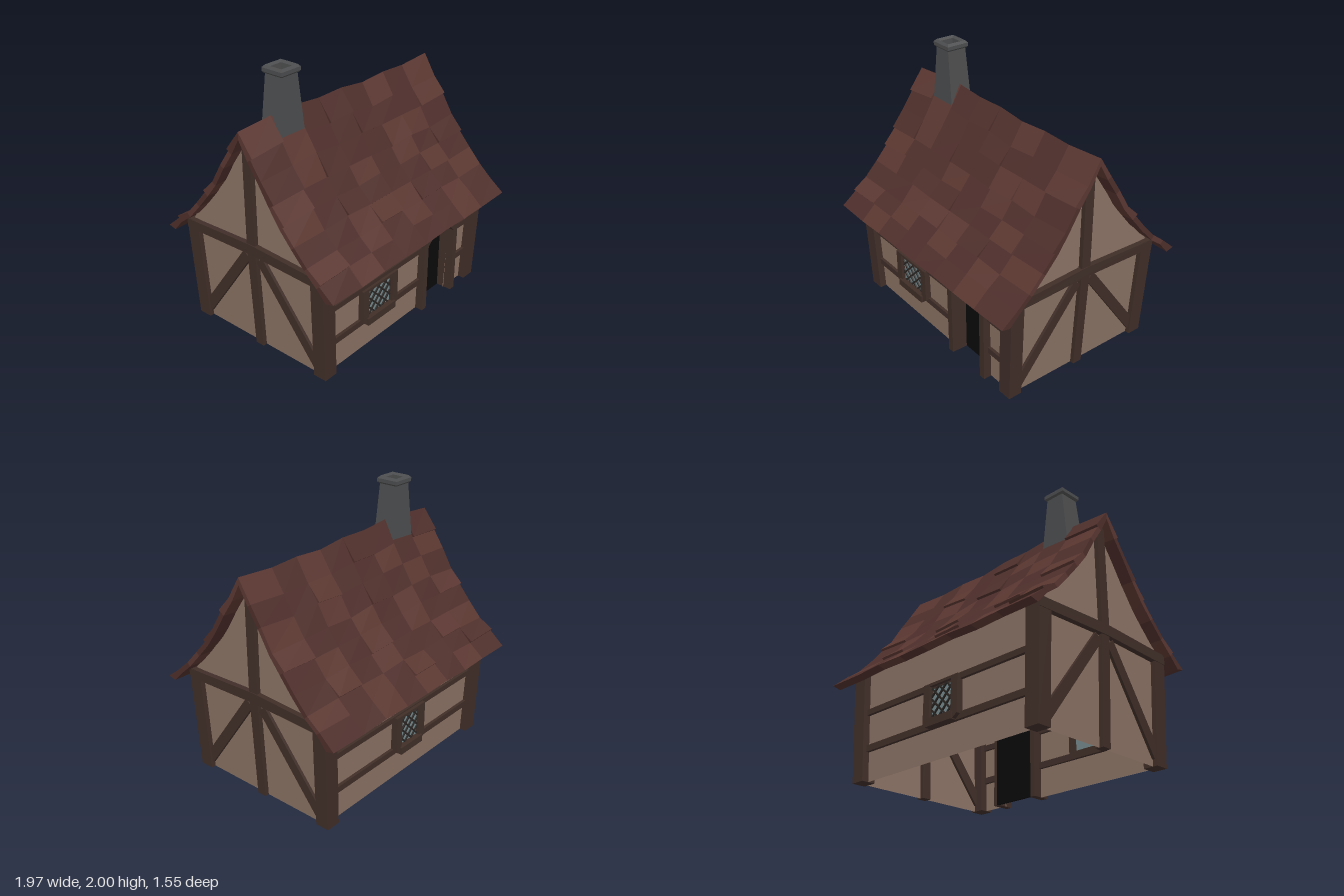
import * as THREE from 'three';
import { mergeGeometries } from 'three/addons/utils/BufferGeometryUtils.js';

const mat = (color, side = THREE.FrontSide) => {
  const m = new THREE.MeshStandardMaterial({ color, side, flatShading: true });
  return m;
};
const PLASTER = mat(0x8a7264, THREE.DoubleSide), WOOD = mat(0x402e28), BLACK = mat(0x0a0a0a);
const GLASS = mat(0x74898c), LEAD = mat(0x2a2624), STONE = mat(0x4c4d4e, THREE.DoubleSide);
const TILE_DARK = mat(0x4e2f2b), TILE_LIGHT = mat(0x5b3731);

function add(parent, name, geo, material) {
  const mesh = new THREE.Mesh(geo, material);
  mesh.name = name;
  parent.add(mesh);
  return mesh;
}

const poly = (pts) => new THREE.Shape(pts.map(([x, y]) => new THREE.Vector2(x, y)));
const box = (x0, x1, y0, y1, z0, z1, segY = 1) =>
  new THREE.BoxGeometry(x1 - x0, y1 - y0, z1 - z0, 1, segY, 1)
    .translate((x0 + x1) / 2, (y0 + y1) / 2, (z0 + z1) / 2);
const slab = (shape, z0, z1) =>
  new THREE.ExtrudeGeometry(shape, { depth: z1 - z0, bevelEnabled: false }).translate(0, 0, z0);

// move every vertex by a rule
function warp(geo, rule) {
  const p = geo.attributes.position, v = new THREE.Vector3();
  for (let i = 0; i < p.count; i++) {
    rule(v.fromBufferAttribute(p, i));
    p.setXYZ(i, v.x, v.y, v.z);
  }
  geo.computeVertexNormals();
  return geo;
}

// walls lean outward up to the eaves
const lean = (geo) => warp(geo, (v) => {
  const t = Math.min(v.y, 0.8) / 0.8;
  v.x = v.x * (1 + 0.046 * t) - 0.01;
  v.z *= 1 + 0.025 * t;
});

function buildWalls(g) {
  const front = poly([[-0.85, 0], [0.235, 0], [0.235, 0.53], [0.3, 0.59], [0.5, 0.59], [0.555, 0.53],
    [0.555, 0], [0.85, 0], [0.85, 0.83], [-0.85, 0.83]]);
  add(g, 'frontWall', lean(new THREE.ShapeGeometry(front).translate(0, 0, 0.57)), PLASTER);
  const back = poly([[-0.85, 0], [0.85, 0], [0.85, 0.83], [-0.85, 0.83]]);
  add(g, 'backWall', lean(new THREE.ShapeGeometry(back).rotateY(Math.PI).translate(0, 0, -0.57)), PLASTER);

  // corner posts
  for (const sx of [1, -1]) for (const sz of [1, -1]) {
    const post = box(-0.055, 0.055, 0, 0.81, -0.052, 0.052).translate(sx * 0.825, 0, sz * 0.57);
    add(g, 'cornerPost', lean(post), WOOD);
  }
  // horizontal rails on the long walls
  for (const [y0, y1] of [[0.215, 0.262], [0.488, 0.53]]) {
    add(g, 'frontRail', lean(box(-0.8, 0.2, y0, y1, 0.55, 0.592)), WOOD);
    add(g, 'frontRail', lean(box(0.59, 0.8, y0, y1, 0.55, 0.592)), WOOD);
    add(g, 'backRail', lean(box(-0.8, 0.8, y0, y1, -0.592, -0.55)), WOOD);
  }
}

function buildGable(g, angle) {
  const place = (geo) => lean(geo.rotateY(angle));
  const lower = poly([[-0.57, 0], [0.57, 0], [0.57, 0.8], [-0.57, 0.8]]);
  const upper = poly([[-0.59, 0.8], [0.59, 0.8], [0.56, 0.85], [0.337, 1.1], [0.176, 1.36], [0, 1.62],
    [-0.176, 1.36], [-0.337, 1.1], [-0.56, 0.85]]);
  for (const s of [lower, upper])
    add(g, 'gableWall', place(new THREE.ShapeGeometry(s).translate(0, 0, 0.845)), PLASTER);
  // timber frame: king post, tie beam and two braces
  add(g, 'gablePost', place(box(-0.036, 0.036, 0, 1.6, 0.815, 0.877, 2)), WOOD);
  const tie = poly([[-0.62, 0.735], [0, 0.755], [0.62, 0.735], [0.62, 0.805], [0, 0.832], [-0.62, 0.805]]);
  add(g, 'tieBeam', place(slab(tie, 0.825, 0.883)), WOOD);
  for (const s of [1, -1]) {
    const brace = poly([[0.03, 0.7], [0.085, 0.75], [0.53, 0.15], [0.51, 0.045]].map(([z, y]) => [s * z, y]));
    add(g, 'brace', place(slab(brace, 0.825, 0.866)), WOOD);
  }
}

function buildDoor(g) {
  const frame = poly([[0.185, 0], [0.235, 0], [0.235, 0.53], [0.3, 0.59], [0.5, 0.59], [0.555, 0.53],
    [0.555, 0], [0.605, 0], [0.605, 0.57], [0.51, 0.635], [0.28, 0.635], [0.185, 0.57]]);
  add(g, 'doorFrame', slab(frame, 0.5, 0.632), WOOD);
  const panel = poly([[0.225, 0], [0.565, 0], [0.565, 0.54], [0.5, 0.6], [0.3, 0.6], [0.225, 0.54]]);
  add(g, 'doorPanel', slab(panel, 0.49, 0.51), BLACK);
}

// lattice window, built around its own centre and facing +z
function buildWindow(w, h) {
  const g = new THREE.Group();
  g.name = 'window';
  const o = 0.06, W = w + o, b = -h - 0.055;
  const frame = poly([[-W, b + 0.035], [-W + 0.05, b], [W - 0.05, b], [W, b + 0.035], [W, h + 0.02], [-W, h + 0.02]]);
  frame.holes.push(poly([[-w, -h], [-w, h], [w, h], [w, -h]]));
  add(g, 'windowFrame', slab(frame, -0.03, 0.04), WOOD);
  add(g, 'windowSill', box(-W + 0.04, W - 0.04, b, -h, 0, 0.055), WOOD);
  add(g, 'windowPane', box(-w, w, -h, h, -0.02, 0.012), GLASS);
  const bars = [];
  for (const s of [1, -1]) for (let c = -0.225; c < 0.23; c += 0.075) {
    const x0 = Math.max(-w, -h - c), x1 = Math.min(w, h - c);
    if (x1 - x0 < 0.02) continue;
    const xm = (x0 + x1) / 2;
    bars.push(new THREE.BoxGeometry((x1 - x0) * Math.SQRT2, 0.012, 0.012)
      .rotateZ(s * Math.PI / 4).translate(s * xm, xm + c, 0.016));
  }
  add(g, 'windowLattice', mergeGeometries(bars), LEAD);
  return g;
}

// roof rows run from ridge to eaves: r = raised, l = light, R = both
const FRONT_TILES = ['Rl.r.l.l', '.l..r..R', 'rlr..Rl.', 'R..l.l.r', 'l.rr..R.', '..lRlr.l', 'R.l.l.l.', '.l..r.l.'];
const BACK_TILES = ['r..r.l.l', 'l.l..R..', '.l.r.l.l', 'R.l.l..R', '..l.R.l.', 'lR..l.R.', 'r..R.l.l', '.l.l.l..'];
const COLS = [-0.985, -0.7, -0.47, -0.24, -0.005, 0.225, 0.46, 0.69, 0.985];
const RIDGE = [-0.015, 0.005, 0.01, -0.01, -0.005, -0.03, -0.015, -0.025, -0.005];
const TOP = [[0, 1.68], [0.1, 1.52], [0.185, 1.39], [0.275, 1.245], [0.36, 1.13], [0.455, 1.015],
  [0.56, 0.905], [0.66, 0.82], [0.775, 0.722]];

// point on the roof profile, moved outward by d
function roofPoint(j, d) {
  const [z, y] = TOP[j];
  if (j === 0) return [0, y + d * 1.5];
  if (j === 8 && d < 0) return [0.712, 0.708];
  const a = TOP[j - 1], b = TOP[Math.min(j + 1, 8)];
  const dz = b[0] - a[0], dy = b[1] - a[1], len = Math.hypot(dz, dy);
  return [z - dy / len * d, y + dz / len * d];
}

function buildRoof(g) {
  const dark = [], light = [];
  for (const [s, rows] of [[1, FRONT_TILES], [-1, BACK_TILES]])
    rows.forEach((row, j) => [...row].forEach((kind, i) => {
      const raised = kind.toLowerCase() === 'r';
      const tile = warp(new THREE.BoxGeometry(1, 1, 1), (v) => {
        const c = i + ((v.x * s > 0) ? 1 : 0);
        const low = v.z > 0, k = low ? j + 1 : j;
        const lift = raised && low && j < 7 ? 0.018 : 0;
        const [z, y] = roofPoint(k, v.y > 0 ? lift : -0.035);
        const wobble = RIDGE[c] * (1 - k / 8) + (k > 0 ? 0.005 * Math.sin(c * 2.3 + k * 4.1 + s) : 0);
        v.set(COLS[c], y + wobble, s * z);
      });
      (kind === 'l' || kind === 'R' ? light : dark).push(tile);
    }));
  add(g, 'roofTilesDark', mergeGeometries(dark), TILE_DARK);
  add(g, 'roofTilesLight', mergeGeometries(light), TILE_LIGHT);
}

function buildChimney(g) {
  // tapered shaft, open at the top
  const ring = (pts) => new THREE.LatheGeometry(
    pts.map(([r, y]) => new THREE.Vector2(r * Math.SQRT2, y)), 4).rotateY(Math.PI / 4);
  const shaft = warp(ring([[1, 1.35], [1, 1.95]]), (v) => {
    const t = (v.y - 1.52) / 0.43;
    v.x *= 0.116 - 0.046 * t;
    v.z *= 0.088 - 0.013 * t;
  });
  add(g, 'chimneyShaft', shaft, STONE).position.x = -0.587;
  const cap = ring([[0.06, 1.945], [0.078, 1.945], [0.088, 1.957], [0.088, 1.983], [0.072, 2], [0.055, 1.985], [0.052, 1.8]]);
  add(g, 'chimneyCap', cap, STONE).position.x = -0.587;
  add(g, 'flue', box(-0.054, 0.054, 1.79, 1.81, -0.054, 0.054), BLACK).position.x = -0.587;
}

export function createModel() {
  const house = new THREE.Group();
  house.name = 'cottage';
  buildWalls(house);
  buildGable(house, Math.PI / 2);
  buildGable(house, -Math.PI / 2);
  buildDoor(house);
  const front = buildWindow(0.13, 0.105);
  front.position.set(-0.305, 0.375, 0.58);
  const back = buildWindow(0.105, 0.115);
  back.position.set(-0.03, 0.385, -0.585);
  back.rotation.y = Math.PI;
  house.add(front, back);
  buildRoof(house);
  buildChimney(house);
  return house;
}
